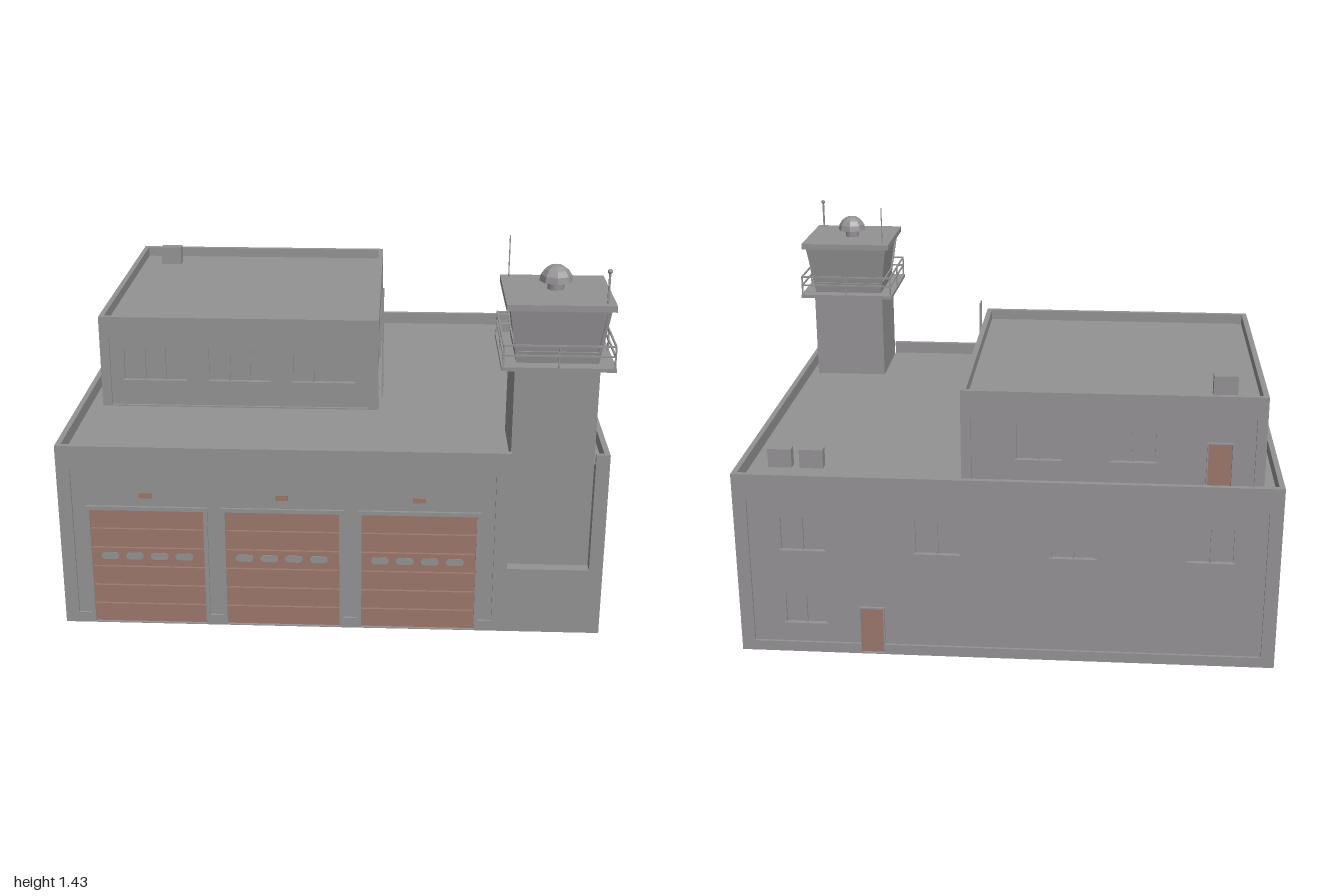
import * as THREE from 'three';

const grey = new THREE.MeshStandardMaterial({ color: 0x949294 });
grey.name = 'concrete grey';
const brown = new THREE.MeshStandardMaterial({ color: 0x9b776c });
brown.name = 'door brown';

const D = 0.02; // wall thickness
const R = 0.01; // depth of the sunken wall panels
const H = 0.833; // half depth of the hall

function add(parent, name, geo, mat = grey) {
  const m = new THREE.Mesh(geo, mat);
  m.name = name;
  parent.add(m);
  return m;
}

// box from its limits
function box(parent, name, x0, x1, y0, y1, z0, z1, mat = grey) {
  const m = add(parent, name, new THREE.BoxGeometry(x1 - x0, y1 - y0, z1 - z0), mat);
  m.position.set((x0 + x1) / 2, (y0 + y1) / 2, (z0 + z1) / 2);
}

// thin square bar between two points
function bar(parent, name, a, b, t) {
  const A = new THREE.Vector3(...a), B = new THREE.Vector3(...b);
  const m = add(parent, name, new THREE.BoxGeometry(t, A.distanceTo(B), t));
  m.position.copy(A).add(B).multiplyScalar(0.5);
  m.quaternion.setFromUnitVectors(new THREE.Vector3(0, 1, 0), B.sub(A).normalize());
}

const path = pts => pts.map(p => new THREE.Vector2(...p));
const rect = (x0, x1, y0, y1) => [[x0, y0], [x1, y0], [x1, y1], [x0, y1]];

// slab of wall cut by openings, its back at z0
function layer(parent, name, outline, holes, z0, depth) {
  const s = new THREE.Shape(path(outline));
  for (const h of holes) s.holes.push(new THREE.Path(path(h)));
  add(parent, name, new THREE.ExtrudeGeometry(s, { depth, bevelEnabled: false })).position.z = z0;
}

// wall with its outer face on local z = 0
// panel: [x0, x1, y0, y1]; doors: [x, width, height]; windows: [x, y, width, height, panes]
function wall(parent, name, { w, y0, y1, outline, panel, doors = [], windows = [] }) {
  const g = new THREE.Group();
  g.name = name;
  parent.add(g);
  const out = outline || rect(-w / 2, w / 2, y0, y1);
  const doorCuts = doors.map(([x, dw, dh]) => rect(x - dw / 2, x + dw / 2, y0 + 0.003, y0 + dh));
  const winCuts = windows.map(([x, y, ww, wh]) => rect(x - ww / 2, x + ww / 2, y, y + wh));
  if (panel) {
    // sunken panel running around the door surrounds
    const [a, b, c, d] = panel, edge = [[a, c]];
    for (const [x, dw, dh] of doors) {
      const margin = dw < 0.3 ? 0.005 : 0.015;
      const e = dw / 2 + margin, t = y0 + dh + margin;
      edge.push([x - e, c], [x - e, t], [x + e, t], [x + e, c]);
    }
    edge.push([b, c], [b, d], [a, d]);
    layer(g, 'wallFrame', out, [edge, ...doorCuts], -R, R);
    layer(g, 'wallPanel', out, [...doorCuts, ...winCuts], -D, D - R);
  } else layer(g, 'wallFace', out, [...doorCuts, ...winCuts], -D, D);

  for (const [x, y, ww, wh, n] of windows) {
    for (let i = 1; i < n; i++) {
      const mx = x - ww / 2 + ww * i / n;
      box(g, 'windowMullion', mx - 0.004, mx + 0.004, y, y + wh, -D, -R);
    }
    if (panel) box(g, 'windowSill', x - ww / 2 - 0.008, x + ww / 2 + 0.008, y - 0.008, y, -D, -0.001);
  }
  for (const [x, dw, dh] of doors) {
    if (dw < 0.3) box(g, 'door', x - dw / 2, x + dw / 2, y0 + 0.003, y0 + dh, -D, -D + 0.008, brown);
    else garageDoor(g, x, dw, dh);
  }
  return g;
}

// sectional door with a row of rounded lights and a lamp above
function garageDoor(g, x, w, h) {
  const n = 6, s = h / n;
  box(g, 'garageDoorBack', x - w / 2, x + w / 2, 0.003, h, -D, -D + 0.002, brown);
  for (let i = 0; i < n; i++)
    box(g, 'garageDoorSection', x - w / 2, x + w / 2, i * s + 0.005, (i + 1) * s - 0.001, -D, -D + 0.013, brown);
  const r = 0.014, l = 0.019;
  const pill = new THREE.Shape();
  pill.absarc(l, 0, r, -Math.PI / 2, Math.PI / 2, false);
  pill.absarc(-l, 0, r, Math.PI / 2, Math.PI * 1.5, false);
  const geo = new THREE.ExtrudeGeometry(pill, { depth: 0.003, bevelEnabled: false, curveSegments: 4 });
  for (let i = 0; i < 4; i++)
    add(g, 'garageDoorWindow', geo).position.set(x - 0.004 + (i - 1.5) * 0.092, 0.279, -D + 0.012);
  box(g, 'doorLamp', x - 0.024, x + 0.022, 0.518, 0.537, -R, -0.001, brown);
}

// four-sided block tapering from width b to width t
function frustum(parent, name, b, t, y0, y1) {
  const geo = new THREE.CylinderGeometry(t / Math.SQRT2, b / Math.SQRT2, y1 - y0, 4)
    .rotateY(Math.PI / 4).toNonIndexed();
  geo.computeVertexNormals();
  add(parent, name, geo).position.y = (y0 + y1) / 2;
}

function mainHall() {
  const g = new THREE.Group();
  g.name = 'mainHall';
  box(g, 'hallCore', -0.98, 0.98, 0, 0.67, -H + D, 0.79);
  // front wall, notched where the tower stands
  const notched = (e, top) => [[-e, 0], [e, 0], [e, top], [0.95, top], [0.95, 0.26], [0.65, 0.26], [0.65, top], [-e, top]];
  layer(g, 'frontBacking', notched(0.98, 0.67), [], 0.79, H - D - 0.79);
  wall(g, 'frontWall', {
    y0: 0, y1: 0.72, outline: notched(1, 0.72), panel: [-0.95, 0.6, 0.04, 0.627],
    doors: [-0.677, -0.177, 0.325].map(x => [x, 0.42, 0.467]),
  }).position.z = H;
  const back = wall(g, 'backWall', {
    w: 2, y0: 0, y1: 0.72, panel: [-0.95, 0.95, 0.04, 0.627], doors: [[-0.5, 0.085, 0.188]],
    windows: [...[-0.75, -0.25, 0.25, 0.75].map(x => [x, 0.42, 0.16, 0.13, 2]), [-0.75, 0.12, 0.15, 0.115, 2]],
  });
  back.rotation.y = Math.PI;
  back.position.z = -H;
  const w = 2 * (H - D);
  const left = wall(g, 'leftWall', {
    w, y0: 0, y1: 0.72, doors: [[-0.168, 0.085, 0.188]],
    windows: [...[-0.378, 0.037, 0.457].map(x => [x, 0.42, 0.225, 0.13, 3]), [0.33, 0.12, 0.15, 0.115, 2]],
  });
  left.rotation.y = Math.PI / 2;
  left.position.x = 1;
  const right = wall(g, 'rightWall', {
    w, y0: 0, y1: 0.72, windows: [-0.42, 0.42].map(x => [x, 0.42, 0.16, 0.13, 2]),
  });
  right.rotation.y = -Math.PI / 2;
  right.position.x = -1;
  for (const x of [0.7, 0.82]) box(g, 'roofUnit', x, x + 0.09, 0.67, 0.743, -0.637, -0.598);
  return g;
}

function upperFloor() {
  const g = new THREE.Group();
  g.name = 'upperFloor';
  g.position.set(-0.384, 0, -0.235);
  const hx = 0.547, hz = 0.535, y0 = 0.67, y1 = 1.04;
  box(g, 'upperCore', -hx + D, hx - D, y0, 1.0, -hz + D, hz - D);
  const px = [-0.51, 0.51, 0.675, 0.958], pz = [-0.49, 0.49, 0.675, 0.958];
  wall(g, 'upperFront', {
    w: 2 * hx, y0, y1, panel: px, windows: [-0.335, 0, 0.332].map(x => [x, 0.78, 0.24, 0.13, 3]),
  }).position.z = hz;
  const back = wall(g, 'upperBack', {
    w: 2 * hx, y0, y1, panel: px, doors: [[0.385, 0.085, 0.188]],
    windows: [-0.265, 0.075].map(x => [x, 0.78, 0.16, 0.13, 2]),
  });
  back.rotation.y = Math.PI;
  back.position.z = -hz;
  const left = wall(g, 'upperLeft', { w: 2 * (hz - D), y0, y1, panel: pz, doors: [[0.13, 0.085, 0.188]] });
  left.rotation.y = Math.PI / 2;
  left.position.x = hx;
  const right = wall(g, 'upperRight', { w: 2 * (hz - D), y0, y1, panel: pz, windows: [[0, 0.78, 0.16, 0.13, 2]] });
  right.rotation.y = -Math.PI / 2;
  right.position.x = -hx;
  box(g, 'upperRoofUnit', -0.446, -0.358, 1.0, 1.077, -0.42, -0.377);
  return g;
}

function ladder() {
  const g = new THREE.Group();
  g.name = 'ladder';
  for (const z of [0.113, 0.155]) bar(g, 'ladderRail', [0.177, 0.67, z], [0.177, 1.115, z], 0.006);
  for (let y = 0.7; y < 1.05; y += 0.028) bar(g, 'ladderRung', [0.177, y, 0.113], [0.177, y, 0.155], 0.005);
  return g;
}

function tower() {
  const g = new THREE.Group();
  g.name = 'tower';
  g.position.set(0.8, 0, 0.635);
  box(g, 'towerShaft', -0.15, 0.13, 0.67, 1.04, -0.15, 0.155);
  const side = wall(g, 'towerSide', { w: 0.305, y0: 0.67, y1: 1.04, windows: [[0, 0.75, 0.05, 0.215, 1]] });
  side.rotation.y = Math.PI / 2;
  side.position.set(0.15, 0, 0.0025);
  box(g, 'balcony', -0.2, 0.2, 1.033, 1.047, -0.197, 0.197);
  // control cabin: recessed glazing between bands and corner posts
  frustum(g, 'cabinGlazing', 0.276, 0.336, 1.047, 1.25);
  frustum(g, 'cabinSill', 0.29, 0.302, 1.047, 1.09);
  frustum(g, 'cabinHead', 0.345, 0.35, 1.233, 1.25);
  const corners = [[1, 1], [-1, 1], [-1, -1], [1, -1]];
  const e = 0.194;
  corners.forEach(([x, z], i) => {
    bar(g, 'cabinPost', [x * 0.139, 1.047, z * 0.139], [x * 0.169, 1.25, z * 0.169], 0.012);
    const [nx, nz] = corners[(i + 1) % 4];
    for (const y of [1.09, 1.127]) bar(g, 'railing', [x * e, y, z * e], [nx * e, y, nz * e], 0.006);
    bar(g, 'railingPost', [x * e, 1.047, z * e], [x * e, 1.13, z * e], 0.006);
    const mx = (x + nx) / 2 * e, mz = (z + nz) / 2 * e;
    bar(g, 'railingPost', [mx, 1.047, mz], [mx, 1.13, mz], 0.006);
  });
  box(g, 'cabinRoof', -0.19, 0.19, 1.25, 1.273, -0.19, 0.19);
  // radar dome
  add(g, 'domeBase', new THREE.CylinderGeometry(0.03, 0.03, 0.035, 8)).position.set(-0.003, 1.29, -0.015);
  const dome = new THREE.SphereGeometry(0.06, 8, 4, 0, Math.PI * 2, 0, Math.PI / 2).toNonIndexed();
  dome.computeVertexNormals();
  add(g, 'dome', dome).position.set(-0.003, 1.303, -0.015);
  add(g, 'domeUnderside', new THREE.CircleGeometry(0.06, 8).rotateX(Math.PI / 2)).position.set(-0.003, 1.303, -0.015);
  // antennas
  bar(g, 'tallAntenna', [-0.16, 1.27, -0.16], [-0.16, 1.43, -0.16], 0.004);
  bar(g, 'shortAntenna', [0.16, 1.27, 0.16], [0.16, 1.39, 0.16], 0.007);
  add(g, 'antennaTip', new THREE.SphereGeometry(0.009, 8, 6)).position.set(0.16, 1.388, 0.16);
  return g;
}

export function createModel() {
  const model = new THREE.Group();
  model.name = 'fireStation';
  model.add(mainHall(), upperFloor(), ladder(), tower());
  return model;
}
